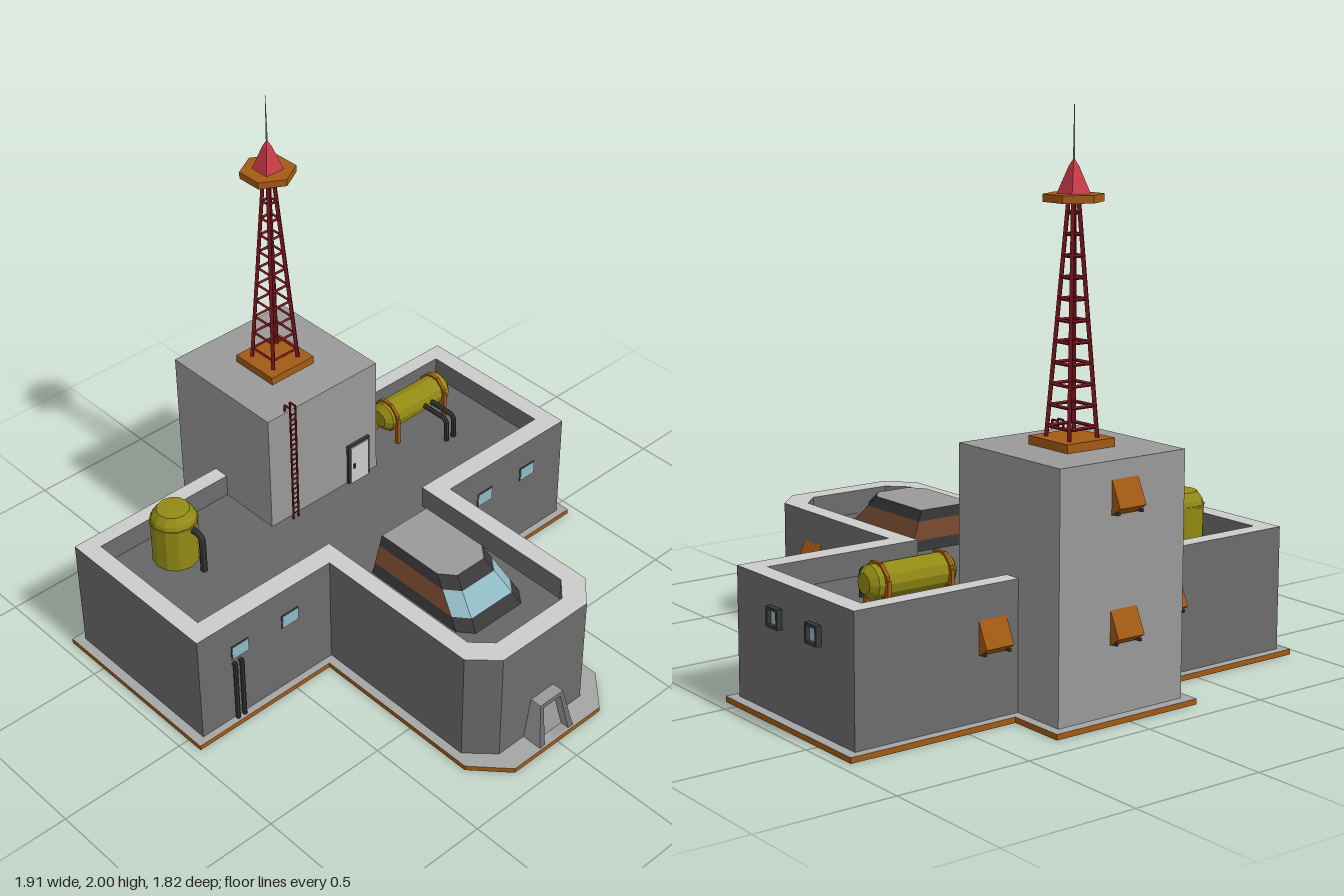
import * as THREE from 'three';

const mat = (color) => new THREE.MeshStandardMaterial({ color, flatShading: true, side: THREE.DoubleSide });
const M = {
  pale: mat(0xcccccc), base: mat(0xa4a6a6), tower: mat(0x999999), wall: mat(0x6c6c6c), floor: mat(0x666666),
  dark: mat(0x383838), orange: mat(0xa35a14), brown: mat(0x7a4a30), yellow: mat(0x928a14),
  mast: mat(0x74141a), red: mat(0xcc3a48), glass: mat(0x90b8c4),
};

export function createModel() {
  const root = new THREE.Group();

  const add = (name, geo, material, x = 0, y = 0, z = 0, parent = root) => {
    const m = new THREE.Mesh(geo, material);
    m.name = name;
    m.position.set(x, y, z);
    parent.add(m);
    return m;
  };
  const group = (name) => {
    const g = new THREE.Group();
    g.name = name;
    root.add(g);
    return g;
  };
  // Box given by its limits on each axis
  const box = (name, material, x0, x1, y0, y1, z0, z1, parent) =>
    add(name, new THREE.BoxGeometry(x1 - x0, y1 - y0, z1 - z0), material,
      (x0 + x1) / 2, (y0 + y1) / 2, (z0 + z1) / 2, parent);
  // Straight bar between two points
  const bar = (name, material, a, b, r, sides, parent) => {
    const A = new THREE.Vector3(...a), B = new THREE.Vector3(...b), d = B.clone().sub(A);
    const m = add(name, new THREE.CylinderGeometry(r, r, d.length(), sides), material, 0, 0, 0, parent);
    m.position.copy(A).add(B).multiplyScalar(0.5);
    m.quaternion.setFromUnitVectors(new THREE.Vector3(0, 1, 0), d.normalize());
    return m;
  };
  // Pipe that leaves level and bends down
  const elbow = (name, x, y, z0, z1, bottom, r) => {
    const path = new THREE.CurvePath();
    const v = (yy, zz) => new THREE.Vector3(x, yy, zz), c = 0.025;
    path.add(new THREE.LineCurve3(v(y, z0), v(y, z1 - c)));
    path.add(new THREE.QuadraticBezierCurve3(v(y, z1 - c), v(y, z1), v(y - c, z1)));
    path.add(new THREE.LineCurve3(v(y - c, z1), v(bottom, z1)));
    add(name, new THREE.TubeGeometry(path, 18, r, 8), M.dark);
  };
  // Floor plan (x, z) to a shape, and a shape raised from y0 to y1
  const plan = (pts, Kind = THREE.Shape) => new Kind(pts.map(([x, z]) => new THREE.Vector2(x, -z)));
  const raise = (name, shape, y0, y1, mats) => {
    const g = new THREE.ExtrudeGeometry(shape, { depth: y1 - y0, bevelEnabled: false });
    return add(name, g.rotateX(-Math.PI / 2), mats, 0, y0, 0);
  };
  // T-shaped plan with a chamfered front arm
  const tPlan = (w, back, front, arm, tip, cx, cz) => [
    [-w, back], [-w, front], [-arm, front], [-arm, tip - cz], [-arm + cx, tip], [arm - cx, tip],
    [arm, tip - cz], [arm, front], [w, front], [w, back],
  ];

  // Foundation, with an extension under the tower
  raise('foundation', plan([...tPlan(0.957, -0.69, 0.068, 0.34, 0.908, 0.12, 0.13),
    [0.31, -0.69], [0.31, -0.905], [-0.295, -0.905], [-0.295, -0.69]]), 0, 0.02, [M.base, M.orange]);

  // Outer walls with pale parapet, and the sunken roof
  const outer = plan(tPlan(0.92, -0.658, 0.04, 0.305, 0.82, 0.095, 0.095));
  const inner = tPlan(0.85, -0.595, -0.04, 0.235, 0.742, 0.07, 0.07);
  outer.holes.push(plan(inner, THREE.Path));
  raise('walls', outer, 0.02, 0.475, [M.pale, M.wall]);
  raise('roof', plan(inner), 0.02, 0.385, [M.floor, M.wall]);

  // Tower block and its roof door
  box('towerBlock', M.tower, -0.257, 0.275, 0.02, 0.875, -0.868, -0.335);
  box('roofDoorFrame', M.dark, 0.122, 0.23, 0.385, 0.563, -0.335, -0.324);
  box('roofDoor', M.pale, 0.132, 0.22, 0.385, 0.553, -0.33, -0.32);
  box('roofDoorHandle', M.dark, 0.142, 0.15, 0.455, 0.475, -0.32, -0.314);

  // Ladder up the tower, hooked over its edge
  const ladder = group('ladder');
  for (const x of [-0.168, -0.143]) {
    bar('ladderRail', M.mast, [x, 0.385, -0.315], [x, 0.902, -0.315], 0.004, 6, ladder);
    bar('ladderHook', M.mast, [x, 0.902, -0.315], [x, 0.902, -0.345], 0.004, 6, ladder);
    bar('ladderHookEnd', M.mast, [x, 0.902, -0.345], [x, 0.872, -0.345], 0.004, 6, ladder);
  }
  for (let y = 0.41; y < 0.88; y += 0.023)
    bar('ladderRung', M.mast, [-0.168, y, -0.315], [-0.143, y, -0.315], 0.003, 5, ladder);

  // Lattice mast
  const mast = group('mast');
  mast.position.set(0.005, 0, -0.598);
  box('mastFoot', M.orange, -0.102, 0.102, 0.875, 0.905, -0.102, 0.102, mast);
  const corners = [[-1, -1], [1, -1], [1, 1], [-1, 1]];
  const half = (y) => THREE.MathUtils.mapLinear(y, 0.905, 1.69, 0.06, 0.012);
  corners.forEach(([sx, sz], i) => {
    const at = ([a, b], y) => [a * half(y), y, b * half(y)];
    bar('mastLeg', M.mast, at([sx, sz], 0.9), at([sx, sz], 1.69), 0.0095, 4, mast);
    for (let k = 0; k < 11; k++) {
      const y = 0.94 + k * 0.071;
      bar('mastRung', M.mast, at([sx, sz], y), at(corners[(i + 1) % 4], y), 0.006, 4, mast);
    }
  });
  add('mastPlatform', new THREE.CylinderGeometry(0.102, 0.102, 0.026, 6), M.orange, 0, 1.698, 0, mast);
  add('mastCap', new THREE.CylinderGeometry(0.017, 0.056, 0.09, 4).rotateY(Math.PI / 4), M.red, 0, 1.756, 0, mast);
  add('mastCapTip', new THREE.CylinderGeometry(0.004, 0.017, 0.02, 4).rotateY(Math.PI / 4), M.red, 0, 1.811, 0, mast);
  add('antenna', new THREE.CylinderGeometry(0.001, 0.0035, 0.185, 6), M.base, 0, 1.9075, 0, mast);

  // Upright tank
  const profile = [[0, 0], [0.088, 0], [0.088, 0.178], [0.083, 0.198], [0.062, 0.228], [0, 0.232]];
  add('uprightTank', new THREE.LatheGeometry(profile.map((p) => new THREE.Vector2(...p)), 12), M.yellow, -0.62, 0.385, -0.452);
  add('uprightTankBand', new THREE.CylinderGeometry(0.091, 0.091, 0.008, 12), M.yellow, -0.62, 0.563, -0.452);
  elbow('uprightTankPipe', -0.597, 0.545, -0.38, -0.32, 0.385, 0.013);

  // Lying tank with straps and pipes
  const lying = [[0, -0.173], [0.035, -0.173], [0.06, -0.15], [0.06, 0.15], [0.035, 0.173], [0, 0.173]];
  add('lyingTank', new THREE.LatheGeometry(lying.map((p) => new THREE.Vector2(...p)), 12).rotateZ(Math.PI / 2),
    M.yellow, 0.567, 0.487, -0.447);
  for (const x of [0.436, 0.688]) {
    add('tankStrap', new THREE.CylinderGeometry(0.07, 0.07, 0.013, 8).rotateY(Math.PI / 8).rotateZ(Math.PI / 2),
      M.orange, x, 0.487, -0.447);
    for (const z of [-0.51, -0.384])
      box('tankLeg', M.orange, x - 0.0065, x + 0.0065, 0.385, 0.5, z - 0.008, z + 0.008);
  }
  for (const x of [0.587, 0.625]) elbow('lyingTankPipe', x, 0.485, -0.4, -0.265, 0.385, 0.01);

  // Control cabin: plan rings stacked into sloping bands
  const cabin = group('controlCabin');
  const ring = ([y, w, f]) => [[-w, y, 0.11], [-w, y, f - 0.055], [-w + 0.045, y, f],
    [w - 0.045, y, f], [w, y, f - 0.055], [w, y, 0.11]];
  const quads = (list) => {
    const g = new THREE.BufferGeometry();
    g.setAttribute('position', new THREE.Float32BufferAttribute(
      list.flatMap(([a, b, c, d]) => [a, b, c, a, c, d]).flat(), 3));
    g.computeVertexNormals();
    return g;
  };
  const band = (name, lo, hi, sides, material) => {
    const a = ring(lo), b = ring(hi);
    add(name, quads(sides.map((i) => [a[i], a[(i + 1) % 6], b[(i + 1) % 6], b[i]])), material, 0, 0, 0, cabin);
  };
  const L = [[0.385, 0.16, 0.595], [0.425, 0.147, 0.56], [0.495, 0.125, 0.49], [0.535, 0.112, 0.45]];
  band('cabinSill', L[0], L[1], [0, 1, 2, 3, 4, 5], M.dark);
  band('cabinSides', L[1], L[2], [0, 4, 5], M.brown);
  band('cabinWindows', L[1], L[2], [1, 2, 3], M.glass);
  band('cabinRoofEdge', L[2], L[3], [0, 1, 2, 3, 4, 5], M.dark);
  const t = ring(L[3]);
  add('cabinRoof', quads([[t[0], t[1], t[4], t[5]], [t[1], t[2], t[3], t[4]]]), M.tower, 0, 0, 0, cabin);

  // Hooded vents: a wedge leaning out of the wall, turned to face outward
  const vent = (x, y, z, turn) => {
    const g = group('vent');
    g.position.set(x, y, z);
    g.rotation.y = turn;
    const s = new THREE.Shape([[0, 0], [0.042, -0.09], [0, -0.118]].map((p) => new THREE.Vector2(...p)));
    add('ventHood', new THREE.ExtrudeGeometry(s, { depth: 0.112, bevelEnabled: false }), M.orange, 0, 0, -0.056, g);
    for (const k of [-0.05, 0.05]) box('ventBracket', M.dark, 0, 0.03, -0.115, -0.105, k - 0.005, k + 0.005, g);
  };
  for (const z of [0.332, 0.53]) vent(0.305, 0.36, z, 0);
  for (const [x, y, z] of [[-0.383, 0.36, -0.658], [0.38, 0.36, -0.658], [0.003, 0.378, -0.868], [0.003, 0.812, -0.868]])
    vent(x, y, z, Math.PI / 2);

  // Windows: four in front, two framed ones on the left end
  for (const x of [-0.734, -0.5, 0.494, 0.727]) {
    box('frontWindowFrame', M.dark, x - 0.04, x + 0.04, 0.302, 0.362, 0.036, 0.042);
    box('frontWindow', M.glass, x - 0.036, x + 0.036, 0.306, 0.358, 0.038, 0.044);
  }
  for (const z of [-0.205, -0.438]) {
    box('endWindow', M.glass, 0.915, 0.926, 0.325, 0.378, z - 0.028, z + 0.028);
    for (const s of [-1, 1]) {
      box('endWindowJamb', M.dark, 0.915, 0.94, 0.317, 0.386, z + s * 0.03 - 0.005, z + s * 0.03 + 0.005);
      box('endWindowRail', M.dark, 0.915, 0.94, 0.351 + s * 0.03 - 0.005, 0.351 + s * 0.03 + 0.005, z - 0.03, z + 0.03);
    }
  }

  // Drain pipes on the front wall
  for (const x of [-0.765, -0.735]) {
    bar('drainPipe', M.dark, [x, 0.02, 0.05], [x, 0.285, 0.05], 0.009, 8);
    bar('drainPipeTop', M.dark, [x, 0.281, 0.052], [x, 0.281, 0.035], 0.009, 8);
  }

  // Entrance: tapered frame whose front leans back
  const lean = (geo) => {
    const p = geo.attributes.position;
    for (let i = 0; i < p.count; i++) if (p.getZ(i) > 0.01) p.setZ(i, p.getZ(i) - 0.2 * p.getY(i));
    geo.computeVertexNormals();
    return geo;
  };
  const trapezoid = (b, h, top, Kind = THREE.Shape) =>
    new Kind([[-b, 0], [b, 0], [h, top], [-h, top]].map((p) => new THREE.Vector2(...p)));
  const frame = trapezoid(0.086, 0.057, 0.165);
  frame.holes.push(trapezoid(0.062, 0.042, 0.15, THREE.Path));
  add('entranceFrame', lean(new THREE.ExtrudeGeometry(frame, { depth: 0.085, bevelEnabled: false })),
    [M.wall, M.tower], 0, 0.02, 0.815);
  add('entranceDoor', lean(new THREE.ExtrudeGeometry(trapezoid(0.064, 0.044, 0.152), { depth: 0.05, bevelEnabled: false })),
    M.tower, 0, 0.02, 0.815);
  box('entranceHandle', M.dark, -0.048, -0.042, 0.075, 0.095, 0.848, 0.86);

  return root;
}
